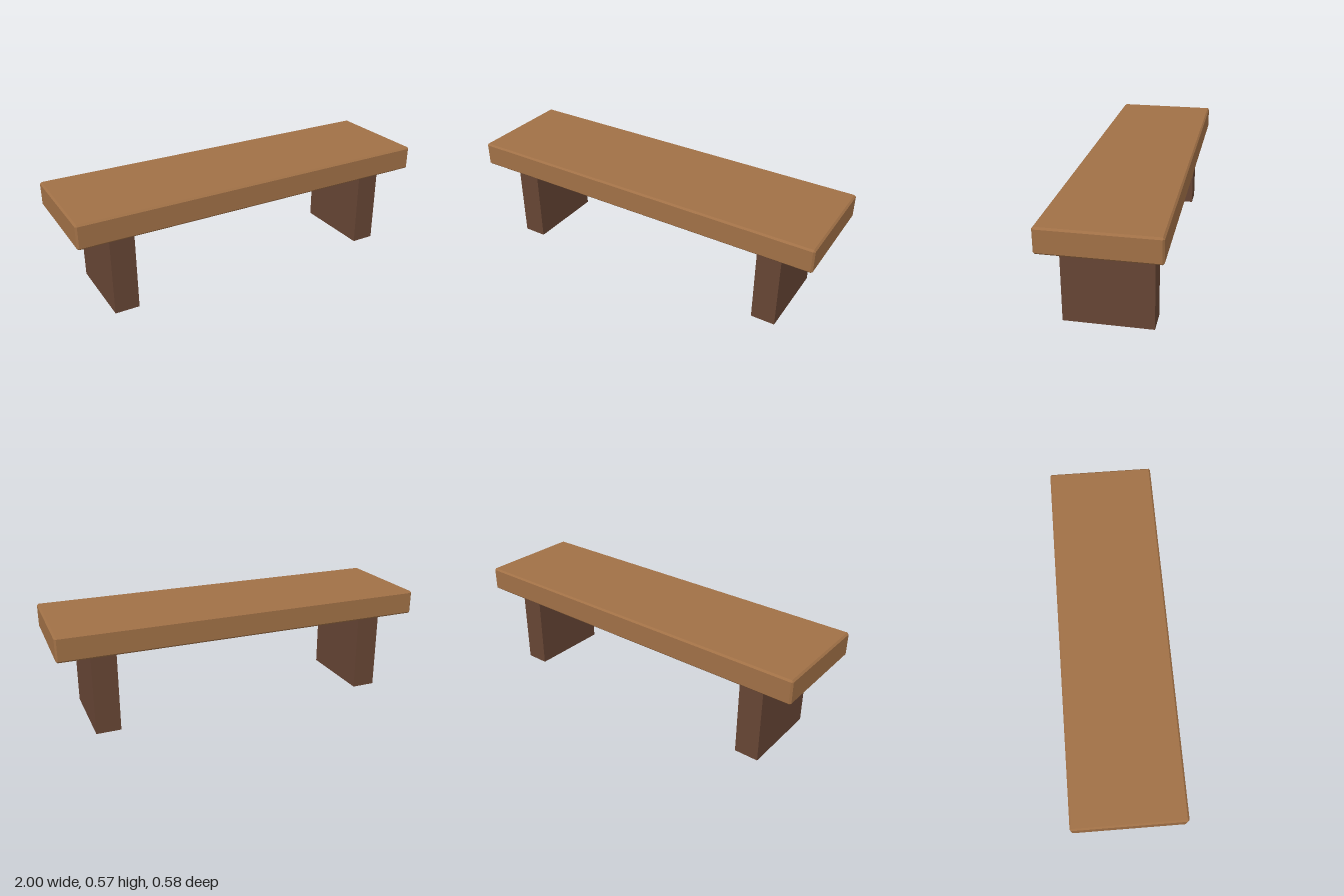
import * as THREE from 'three';
import { ConvexGeometry } from 'three/addons/geometries/ConvexGeometry.js';

// Box with every edge cut flat by c
function chamferedBox(w, h, d, c) {
  const points = [];
  for (const sx of [-1, 1]) for (const sy of [-1, 1]) for (const sz of [-1, 1]) {
    const x = w / 2, y = h / 2, z = d / 2;
    points.push(
      new THREE.Vector3(sx * x, sy * (y - c), sz * (z - c)),
      new THREE.Vector3(sx * (x - c), sy * y, sz * (z - c)),
      new THREE.Vector3(sx * (x - c), sy * (y - c), sz * z)
    );
  }
  return new ConvexGeometry(points);
}

export function createModel() {
  const group = new THREE.Group();
  group.name = 'bench';
  const seatWood = new THREE.MeshStandardMaterial({ color: 0xa07046 });
  seatWood.name = 'seat wood';
  const legWood = new THREE.MeshStandardMaterial({ color: 0x664534 });
  legWood.name = 'leg wood';

  // Seat slab
  const seat = new THREE.Mesh(chamferedBox(2, 0.13, 0.577, 0.009), seatWood);
  seat.name = 'seat';
  seat.position.y = 0.503;
  group.add(seat);

  // Slab legs, mirrored left and right
  const legGeometry = new THREE.BoxGeometry(0.13, 0.438, 0.448);
  for (const [name, side] of [['leftLeg', 1], ['rightLeg', -1]]) {
    const leg = new THREE.Mesh(legGeometry, legWood);
    leg.name = name;
    leg.position.set(side * 0.762, 0.219, 0);
    group.add(leg);
  }
  return group;
}
